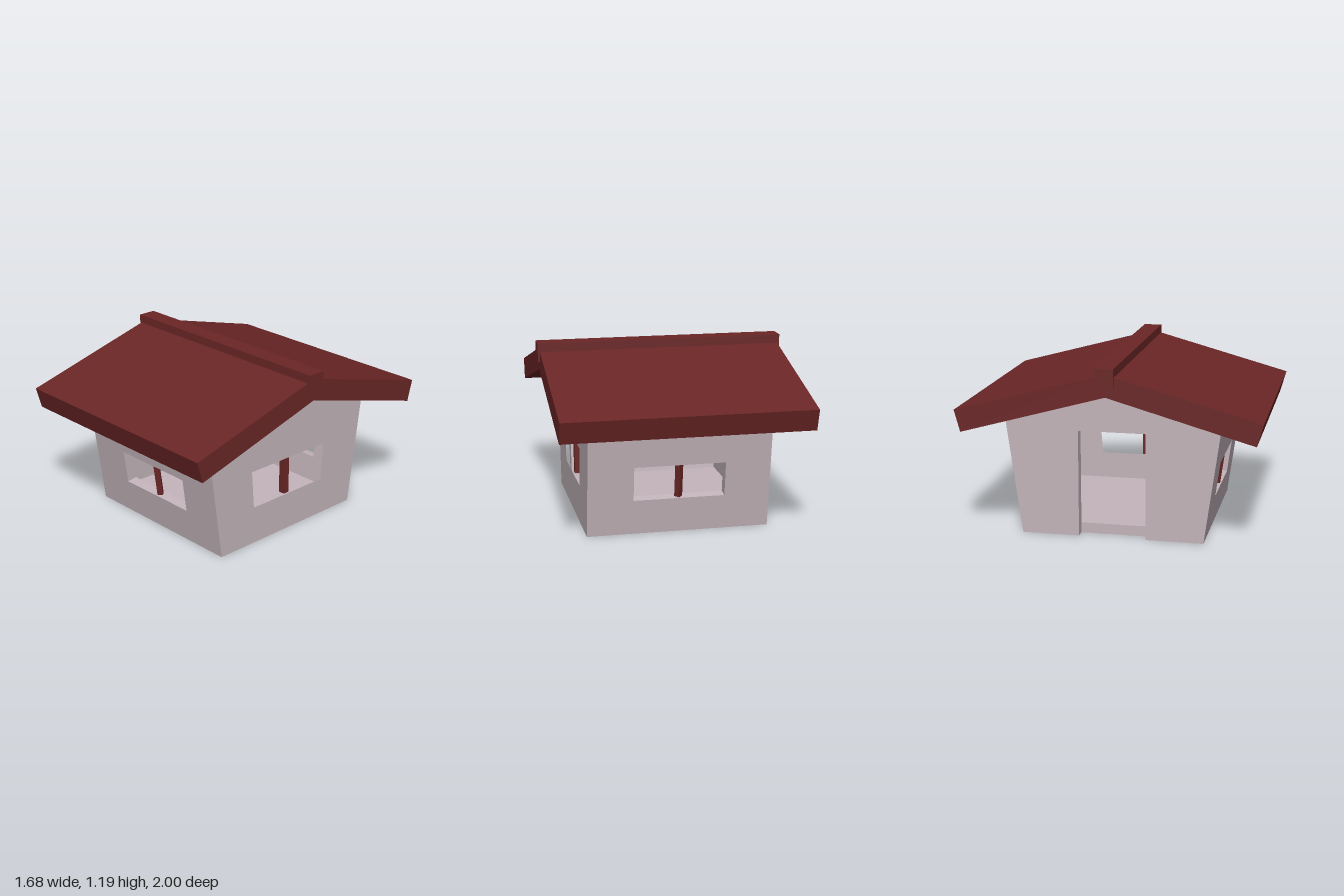
import * as THREE from 'three';

const T = 0.07; // wall thickness
const wallMat = new THREE.MeshStandardMaterial({ color: 0xc4b5bb });
const redMat = new THREE.MeshStandardMaterial({ color: 0x6b2626 });

function mesh(name, geometry, material) {
  const m = new THREE.Mesh(geometry, material);
  m.name = name;
  return m;
}

const points = (list) => list.map(([a, b]) => new THREE.Vector2(a, b));

// Extrude a (z, y) profile along x, from x0 to x1
function extrudeX(profile, x0, x1, hole) {
  const flip = (list) => points(list.map(([z, y]) => [-z, y]));
  const shape = new THREE.Shape(flip(profile));
  if (hole) shape.holes.push(new THREE.Path(flip(hole)));
  const geo = new THREE.ExtrudeGeometry(shape, { depth: x1 - x0, bevelEnabled: false });
  return geo.rotateY(Math.PI / 2).translate(x0, 0, 0);
}

// Flared long wall with a window and its diagonal post
function sideWall(name) {
  const group = new THREE.Group();
  group.name = name;
  const tilted = new THREE.Group();
  const half = 0.61 - T;
  const [bottom, top] = [0.239, 0.474];
  const shape = new THREE.Shape(points([[-half, 0], [half, 0], [half, 0.82], [-half, 0.82]]));
  shape.holes.push(new THREE.Path(points([[-0.305, bottom], [-0.305, top], [0.305, top], [0.305, bottom]])));
  const geo = new THREE.ExtrudeGeometry(shape, { depth: T, bevelEnabled: false }).translate(0, 0, -T);
  const post = mesh(name + 'WindowPost', new THREE.BoxGeometry(0.038, top - bottom, 0.038).rotateY(Math.PI / 4), redMat);
  post.position.set(0, (bottom + top) / 2, -T / 2);
  tilted.add(mesh(name + 'Panel', geo, wallMat), post);
  tilted.rotation.x = Math.atan2(0.11, 0.8);
  tilted.position.z = 0.61;
  group.add(tilted);
  return group;
}

export function createModel() {
  const model = new THREE.Group();
  model.name = 'cabin';
  const house = new THREE.Group();
  house.name = 'house';
  house.position.z = -0.005;
  model.add(house);

  // Long walls, mirrored front to back
  const back = sideWall('backWall');
  back.rotation.y = Math.PI;
  house.add(sideWall('frontWall'), back);

  // Gable walls: window on the left, doorway on the right
  const upper = [[0.72, 0.8], [0, 1], [-0.72, 0.8], [-0.61, 0]];
  const windowHole = [[0.32, 0.26], [0.34, 0.525], [-0.34, 0.525], [-0.32, 0.26]];
  house.add(mesh('leftGable', extrudeX([[0.61, 0], ...upper], 0.61 - T, 0.61, windowHole), wallMat));
  const doorway = [[-0.225, 0], [-0.225, 0.72], [0.225, 0.72], [0.225, 0]];
  house.add(mesh('rightGable', extrudeX([[0.61, 0], ...upper, ...doorway], -0.61, -0.61 + T), wallMat));
  const post = mesh('gableWindowPost', new THREE.BoxGeometry(0.045, 0.265, 0.045), redMat);
  post.position.set(0.61 - T / 2, 0.3925, 0.005);
  house.add(post);

  // Floor slab
  house.add(mesh('floor', extrudeX([[0.606, 0], [0.606, 0.07], [-0.606, 0.07], [-0.606, 0]], -0.61 + T, 0.61 - T), wallMat));

  // Pitched roof and ridge beam
  const roof = [[0, 1.147], [1, 0.875], [0.96, 0.73], [0, 1], [-0.96, 0.73], [-1, 0.875]];
  model.add(mesh('roof', extrudeX(roof, -0.825, 0.825), redMat));
  const ridge = mesh('ridgeBeam', new THREE.BoxGeometry(1.68, 0.125, 0.125), redMat);
  ridge.position.set(0, 1.125, -0.005);
  model.add(ridge);

  return model;
}
